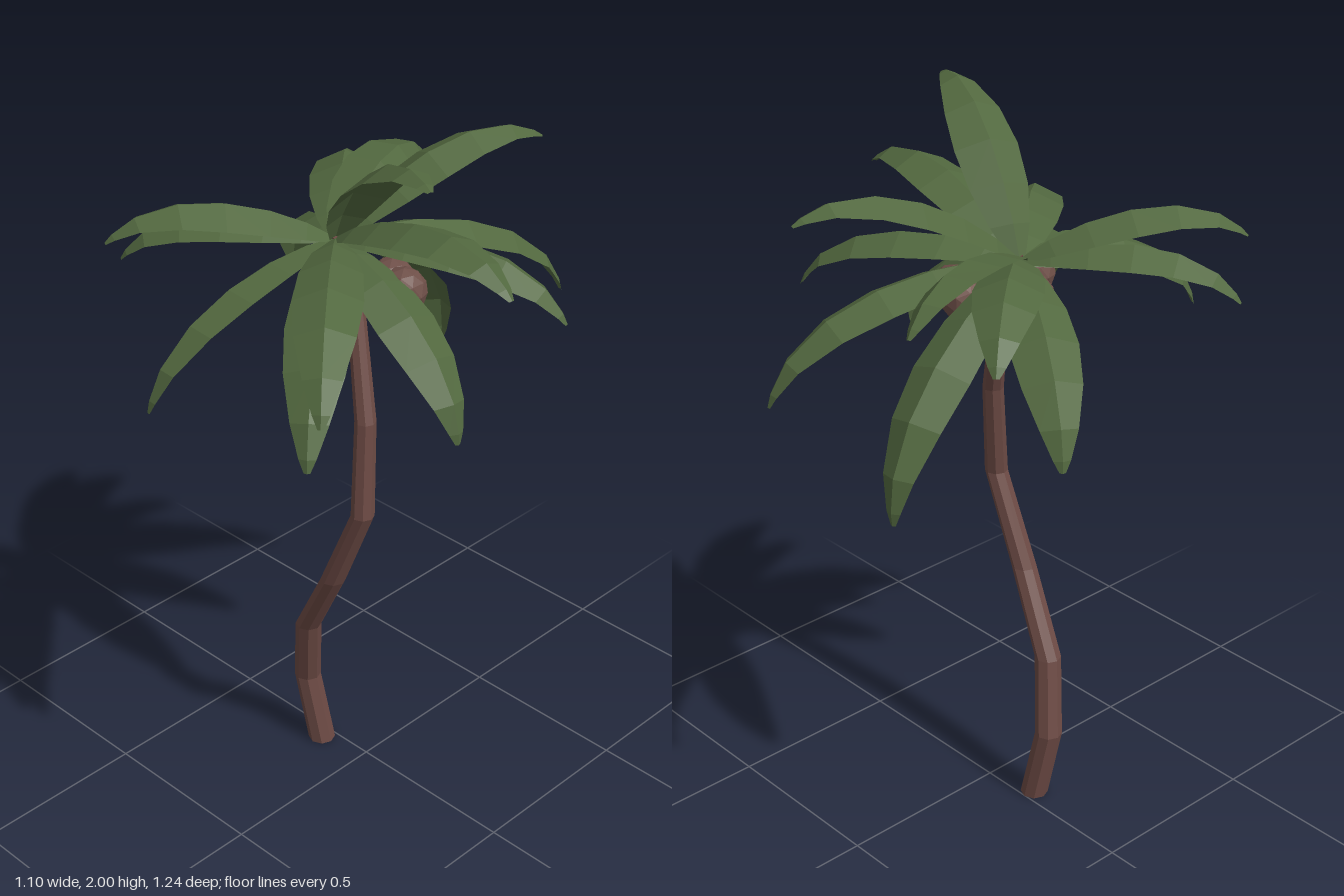
import * as THREE from 'three';

const V = (x, y, z) => new THREE.Vector3(x, y, z);

const mat = (name, color, side = THREE.FrontSide) => {
  const m = new THREE.MeshStandardMaterial({ color, side, flatShading: true });
  m.name = name;
  return m;
};

// Turns a list of triangles (corner points) into a faceted geometry
function facets(points) {
  const g = new THREE.BufferGeometry().setFromPoints(points);
  g.computeVertexNormals();
  return g;
}

// Quad a-b-c-d, counter-clockwise from outside
const quad = (out, a, b, c, d) => out.push(a, b, c, a, c, d);

// Faceted trunk lofted through level rings [x, y, z, radius]
function trunkGeometry(rings) {
  const n = 8, out = [];
  const corner = ([x, y, z, r], k) => {
    const a = (k / n) * Math.PI * 2;
    return V(x + r * Math.cos(a), y, z - r * Math.sin(a));
  };
  for (let i = 0; i < rings.length - 1; i++)
    for (let k = 0; k < n; k++)
      quad(out, corner(rings[i], k), corner(rings[i], k + 1), corner(rings[i + 1], k + 1), corner(rings[i + 1], k));
  const [x, y, z] = rings[0], [tx, ty, tz] = rings.at(-1);
  for (let k = 0; k < n; k++) {
    out.push(V(x, y, z), corner(rings[0], k + 1), corner(rings[0], k));
    out.push(V(tx, ty, tz), corner(rings.at(-1), k), corner(rings.at(-1), k + 1));
  }
  return facets(out);
}

// Arched frond: a ridge line with two wings folded down from it, rolled about the ridge
function frondGeometry(root, tip, roll) {
  const chord = tip.clone().sub(root);
  const length = chord.length();
  const side = V(-chord.z, 0, chord.x).normalize();
  const lift = side.clone().cross(chord).normalize();
  if (lift.y < 0) lift.negate();
  const control = (along, high) => root.clone().lerp(tip, along).addScaledVector(lift, length * high);
  const curve = new THREE.CubicBezierCurve3(root, control(0.3, 0.2), control(0.82, 0.27), tip);
  const stations = [[0, 0.02], [0.13, 0.055], [0.28, 0.08], [0.45, 0.088], [0.63, 0.076], [0.82, 0.048], [0.95, 0.022], [1, 0.008]];
  const rows = stations.map(([t, w]) => {
    const p = curve.getPoint(t), tangent = curve.getTangent(t);
    const up = side.clone().cross(tangent).normalize();
    if (up.dot(lift) < 0) up.negate();
    const rolledUp = up.clone().multiplyScalar(Math.cos(roll)).addScaledVector(side, Math.sin(roll));
    const across = side.clone().multiplyScalar(Math.cos(roll)).addScaledVector(up, -Math.sin(roll));
    const wing = s => p.clone().addScaledVector(across, s * w).addScaledVector(rolledUp, -0.45 * w);
    return [wing(-1), p, wing(1)];
  });
  const out = [];
  for (let i = 0; i < rows.length - 1; i++)
    for (let j = 0; j < 2; j++)
      quad(out, rows[i][j], rows[i + 1][j], rows[i + 1][j + 1], rows[i][j + 1]);
  // keep the facing upward
  const [a, b, c] = out;
  const normal = b.clone().sub(a).cross(c.clone().sub(a));
  return facets(normal.dot(lift) < 0 ? out.reverse() : out);
}

export function createModel() {
  const palm = new THREE.Group();
  palm.name = 'palmTree';
  const bark = mat('bark brown', 0x6c4a44);
  const nutBrown = mat('coconut brown', 0x6e4f48);
  const leaf = mat('leaf green', 0x52683f, THREE.DoubleSide);

  // Winding trunk
  const trunk = new THREE.Mesh(trunkGeometry([
    [-0.148, 0, 0.037, 0.039],
    [-0.19, 0.22, 0.05, 0.038],
    [-0.147, 0.44, 0.085, 0.037],
    [-0.018, 0.67, 0.112, 0.035],
    [0.094, 0.93, 0.11, 0.032],
    [0.075, 1.2, 0.08, 0.029],
    [-0.015, 1.5, 0.025, 0.024],
    [-0.085, 1.65, 0.01, 0.019],
  ]), bark);
  trunk.name = 'trunk';
  palm.add(trunk);

  // Coconuts under the crown
  const coconuts = new THREE.Group();
  coconuts.name = 'coconuts';
  const nut = new THREE.IcosahedronGeometry(0.063, 1);
  for (const p of [[0, 1.54, 0.15], [0.075, 1.53, -0.06], [0.015, 1.53, -0.08], [-0.115, 1.54, 0.035]]) {
    const m = new THREE.Mesh(nut, nutBrown);
    m.name = 'coconut';
    m.position.set(...p);
    coconuts.add(m);
  }
  palm.add(coconuts);

  // Fronds: tip x, y, z and optional roll, all springing from the crown
  const crown = V(-0.1, 1.645, 0.01);
  const tips = [
    [0.387, 1.985, 0.185], [0.547, 1.72, 0.07], [0.405, 1.27, 0.085],
    [0.447, 1.49, -0.27], [0.14, 1.35, -0.622], [0.11, 1.82, -0.545],
    [-0.2, 1.11, -0.51], [-0.29, 1.65, -0.525, 0.4], [-0.49, 1.59, -0.43],
    [-0.553, 1.31, -0.27], [-0.537, 1.56, 0.365], [-0.44, 1.68, 0.49],
    [-0.15, 1.36, 0.62, 0.4], [0.3, 1.33, 0.51], [0.37, 1.49, 0.53],
  ];
  const fronds = new THREE.Group();
  fronds.name = 'fronds';
  for (const [x, y, z, roll = 0] of tips) {
    const m = new THREE.Mesh(frondGeometry(crown, V(x, y, z), roll), leaf);
    m.name = 'frond';
    fronds.add(m);
  }
  palm.add(fronds);
  return palm;
}
